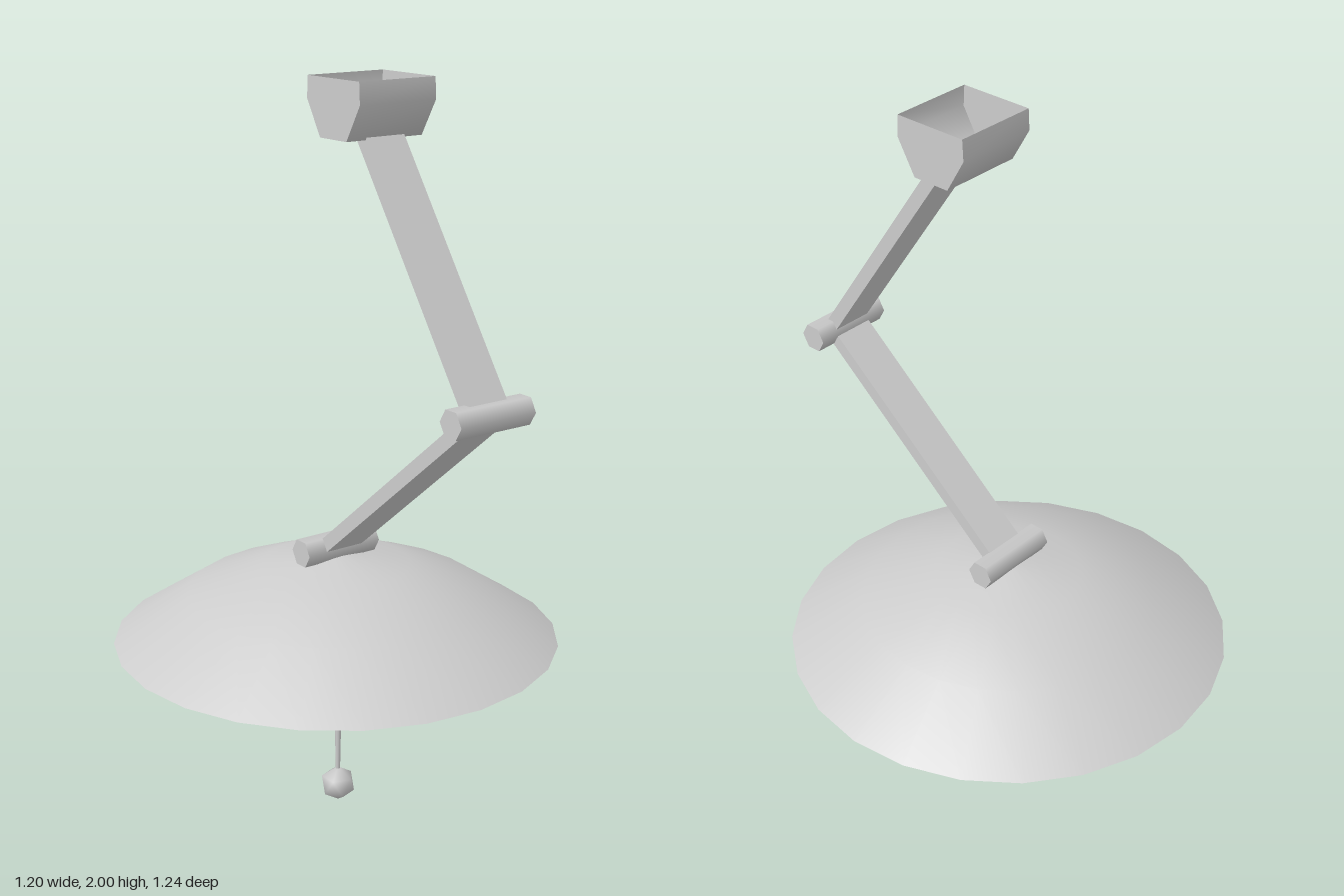
import * as THREE from 'three';
import { mergeVertices } from 'three/addons/utils/BufferGeometryUtils.js';

const grey = new THREE.MeshStandardMaterial({ color: 0xcccccc });
const thin = new THREE.MeshStandardMaterial({ color: 0xcccccc, side: THREE.DoubleSide });

export function createModel() {
  const model = new THREE.Group();
  const add = (name, geometry, x, y, z, material = grey) => {
    const mesh = new THREE.Mesh(geometry, material);
    mesh.name = name;
    mesh.position.set(x, y, z);
    model.add(mesh);
    return mesh;
  };

  // Hexagonal hinge pin lying along x, with corners pointing to +-z
  const hinge = (name, y, z) => {
    const g = new THREE.CylinderGeometry(0.039, 0.039, 0.23, 6).rotateZ(Math.PI / 2);
    add(name, g, 0, y, z);
  };

  // Flat bar between two [y, z] points
  const bar = (name, [y0, z0], [y1, z1]) => {
    const length = Math.hypot(y1 - y0, z1 - z0);
    const g = new THREE.BoxGeometry(0.115, length, 0.037);
    add(name, g, 0, (y0 + y1) / 2, (z0 + z1) / 2).rotation.x = Math.atan2(z1 - z0, y1 - y0);
  };

  // Ceiling housing: open-topped trough with two end walls, profile as [z, y]
  const profile = [[0.103, 0.145], [0.106, 0.09], [0.053, 0], [-0.053, 0], [-0.106, 0.09], [-0.103, 0.145]];
  const trough = new THREE.PlaneGeometry(0.23, 1, 1, profile.length - 1);
  const p = trough.attributes.position;
  for (let i = 0; i < p.count; i++) {
    const [z, y] = profile[Math.floor(i / 2)];
    p.setXYZ(i, p.getX(i), y, z);
  }
  trough.computeVertexNormals();
  add('ceilingHousing', trough, 0, 1.855, 0.125, thin);
  const endShape = new THREE.Shape(profile.map(([z, y]) => new THREE.Vector2(z, y)));
  for (const side of [-1, 1]) {
    const wall = new THREE.ShapeGeometry(endShape).rotateY(-Math.PI / 2);
    add(side > 0 ? 'housingEndLeft' : 'housingEndRight', wall, side * 0.115, 1.855, 0.125, thin);
  }

  // Folding arm
  bar('upperArm', [1.25, 0.58], [1.865, 0.157]);
  hinge('elbowHinge', 1.25, 0.58);
  bar('lowerArm', [1.25, 0.58], [0.767, 0]);
  hinge('shadeHinge', 0.755, -0.02);

  // Open shallow shade
  const shadeProfile = [[0.6, 0.498], [0.4, 0.627], [0.2, 0.705], [0, 0.732]];
  const shade = new THREE.LatheGeometry(shadeProfile.map(([r, y]) => new THREE.Vector2(r, y)), 24);
  add('shade', shade, 0, 0, -0.02, thin);

  // Tapered handle rod with a twenty-sided knob, one corner pointing up
  add('handleRod', new THREE.CylinderGeometry(0.019, 0.006, 0.63, 8), 0, 0.405, -0.012);
  let knob = new THREE.IcosahedronGeometry(0.05, 0);
  knob.deleteAttribute('normal');
  knob.deleteAttribute('uv');
  knob = mergeVertices(knob);
  knob.rotateX(-Math.atan((1 + Math.sqrt(5)) / 2)).rotateY(Math.PI / 2);
  knob.computeVertexNormals();
  add('handleKnob', knob, 0, 0.05, -0.012);

  return model;
}
